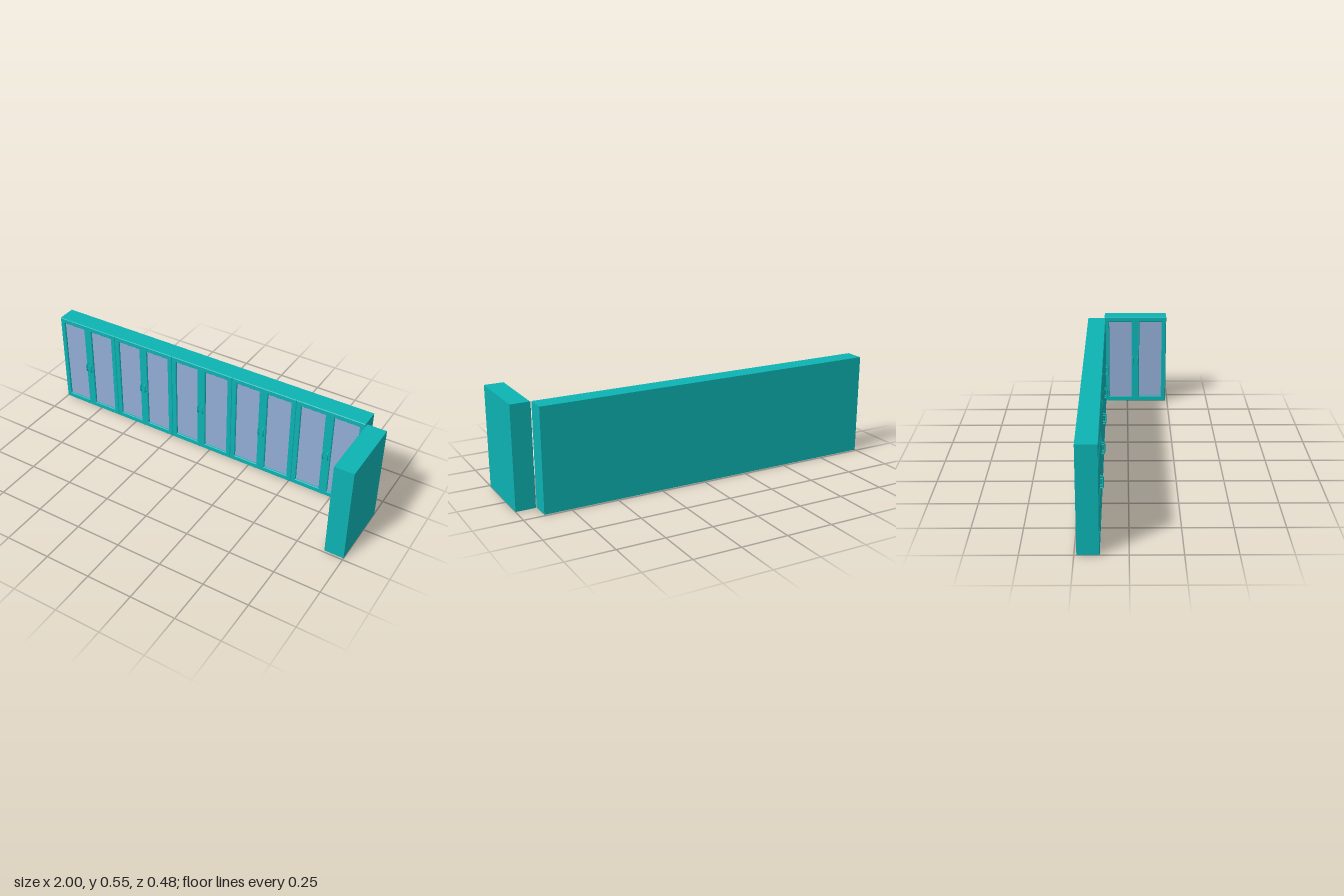
import * as THREE from 'three';

const W = 0.378, H = 0.546, D = 0.1055; // one cabinet unit
const BODY = 0.0905, BEVEL = 0.003;

const teal = new THREE.MeshStandardMaterial({ color: 0x0db3b3 });
const glass = new THREE.MeshStandardMaterial({ color: 0x93add6 });

function add(parent, name, geometry, material, x = 0, y = 0, z = 0) {
  const mesh = new THREE.Mesh(geometry, material);
  mesh.name = name;
  mesh.position.set(x, y, z);
  parent.add(mesh);
  return mesh;
}

function rect(path, x0, y0, x1, y1) {
  path.moveTo(x0, y0);
  path.lineTo(x1, y0);
  path.lineTo(x1, y1);
  path.lineTo(x0, y1);
  path.closePath();
  return path;
}

// Front frame with two window openings and softly bevelled edges
function frameGeometry() {
  const shape = rect(new THREE.Shape(), -W / 2, 0, W / 2, H);
  for (const [a, b] of [[-0.161, -0.024], [0.024, 0.161]]) {
    shape.holes.push(rect(new THREE.Path(), a, 0.03, b, 0.518));
  }
  return new THREE.ExtrudeGeometry(shape, {
    depth: D - BODY - BEVEL, bevelEnabled: true, bevelThickness: BEVEL,
    bevelSize: BEVEL, bevelOffset: -BEVEL, bevelSegments: 1,
  });
}

// Bowed pull handle standing off the frame
function handleGeometry() {
  const points = [[-0.024, -0.002], [-0.022, 0.011], [-0.014, 0.014],
    [0.014, 0.014], [0.022, 0.011], [0.024, -0.002]]
    .map(([y, z]) => new THREE.Vector3(0, y, z));
  return new THREE.TubeGeometry(new THREE.CatmullRomCurve3(points), 24, 0.004, 8);
}

// Cabinet unit: back on z = 0, doors facing +z
function makeCabinet(name, frame, handle) {
  const unit = new THREE.Group();
  unit.name = name;
  add(unit, 'cabinetBody', new THREE.BoxGeometry(W, H, BODY), teal, 0, H / 2, BODY / 2);
  add(unit, 'doorFrame', frame, teal, 0, 0, BODY);
  for (const side of [-1, 1]) {
    add(unit, 'glassPanel', new THREE.BoxGeometry(0.145, 0.495, 0.008), glass,
      side * 0.0925, 0.274, BODY + 0.002);
    add(unit, 'doorHandle', handle, teal, side * 0.014, 0.273, D);
  }
  return unit;
}

export function createModel() {
  const model = new THREE.Group();
  model.name = 'cornerCabinets';
  const frame = frameGeometry(), handle = handleGeometry();

  // Long row along the back
  for (let i = 0; i < 5; i++) {
    const unit = makeCabinet('backCabinet', frame, handle);
    unit.position.set(-1 + W * (i + 0.5), 0, -0.2385);
    model.add(unit);
  }

  // Return unit at the left end, doors facing inwards
  const end = makeCabinet('sideCabinet', frame, handle);
  end.rotation.y = -Math.PI / 2;
  end.position.set(1, 0, 0.2385 - W / 2);
  model.add(end);

  return model;
}
